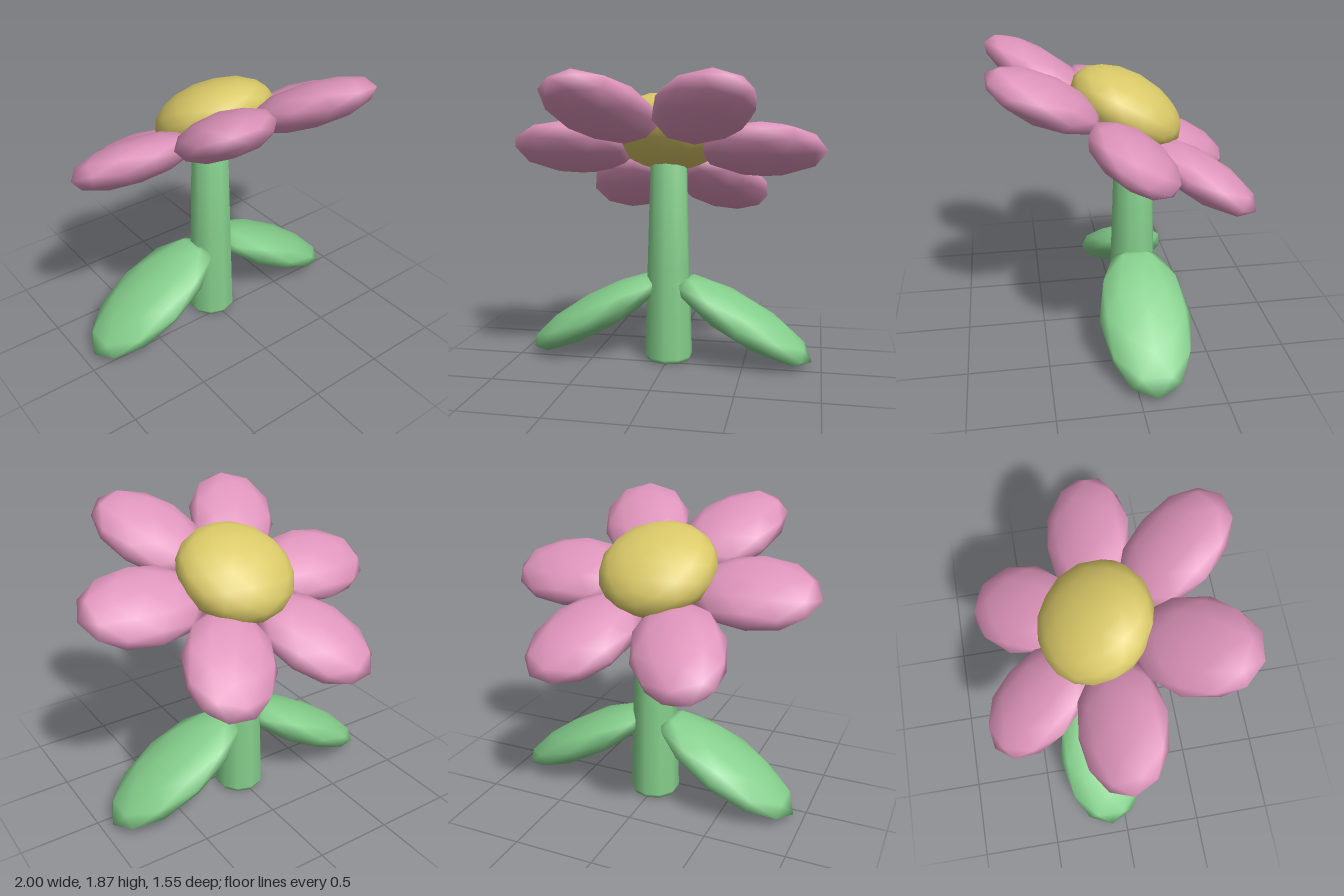
import * as THREE from 'three';

const petalPink = new THREE.MeshStandardMaterial({ color: 0xde94bb });
petalPink.name = 'petalPink';
const centreYellow = new THREE.MeshStandardMaterial({ color: 0xdac968 });
centreYellow.name = 'centreYellow';
const stemGreen = new THREE.MeshStandardMaterial({ color: 0x85cf8c });
stemGreen.name = 'stemGreen';

// Smooth-shaded low-poly ellipsoid with the given half sizes
function ellipsoid(name, material, a, t, b) {
  const mesh = new THREE.Mesh(new THREE.IcosahedronGeometry(1, 1), material);
  mesh.name = name;
  mesh.scale.set(a, t, b);
  return mesh;
}

export function createModel() {
  const model = new THREE.Group();
  model.name = 'flower';

  // Tapered stem with a small bevel at the foot, running up into the centre
  const profile = [[0, 0], [0.14, 0], [0.158, 0.03], [0.138, 0.65], [0.116, 1.36], [0, 1.36]]
    .map(([r, y]) => new THREE.Vector2(r, y));
  const stem = new THREE.Mesh(new THREE.LatheGeometry(profile, 10), stemGreen);
  stem.name = 'stem';
  stem.position.z = -0.1;
  model.add(stem);

  // Drooping leaves, mirrored left and right
  for (const side of [1, -1]) {
    const leaf = ellipsoid(side > 0 ? 'leftLeaf' : 'rightLeaf', stemGreen, 0.52, 0.13, 0.285);
    leaf.position.set(side * 0.49, 0.29, -0.1);
    leaf.rotation.z = -side * THREE.MathUtils.degToRad(30);
    model.add(leaf);
  }

  // Flower head, leaning towards the back
  const head = new THREE.Group();
  head.name = 'flowerHead';
  head.position.y = 1.4;
  head.rotation.x = -THREE.MathUtils.degToRad(29.5);
  model.add(head);

  // Ring of six petals
  for (let i = 0; i < 6; i++) {
    const angle = (i * Math.PI) / 3;
    const petal = ellipsoid('petal', petalPink, 0.4, 0.13, 0.285);
    petal.position.set(Math.cos(angle) * 0.6, 0, -Math.sin(angle) * 0.6);
    petal.rotation.y = angle;
    head.add(petal);
  }

  // Domed centre
  const centre = ellipsoid('flowerCentre', centreYellow, 0.37, 0.205, 0.37);
  centre.geometry = new THREE.IcosahedronGeometry(1, 2);
  centre.position.y = 0.11;
  head.add(centre);

  return model;
}
